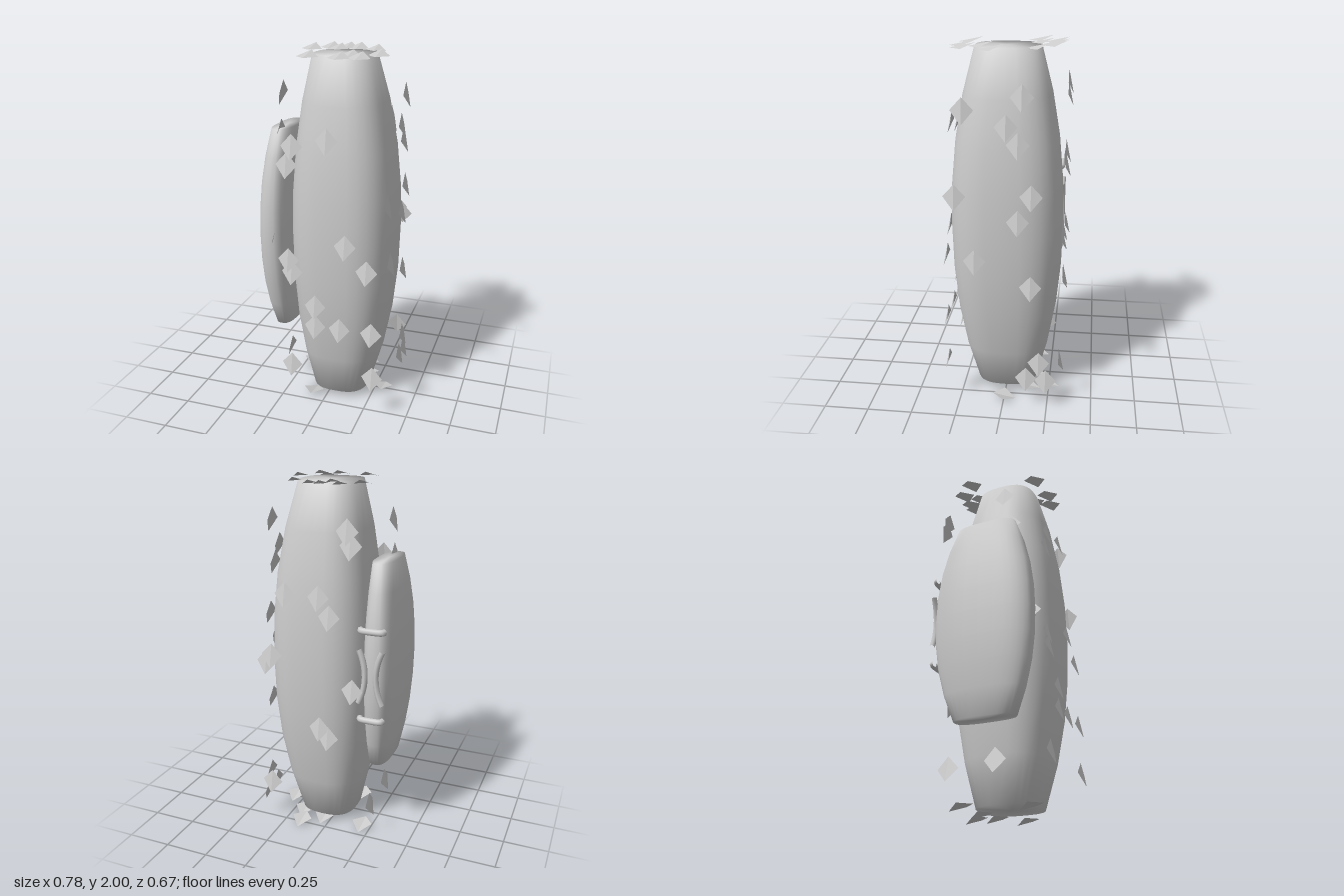
import * as THREE from 'three';

const grey = new THREE.MeshStandardMaterial({ color: 0xcccccc });
const greyThin = new THREE.MeshStandardMaterial({ color: 0xcccccc, side: THREE.DoubleSide, flatShading: true });

// Barrel with rounded-square section: widest half way up, narrowing to flat closed ends
function barrel({ y0, y1, halfX, halfZ, endScale, xMid, xEnd }, rings = 9, sides = 32) {
  const pos = [], index = [];
  const soft = (v) => Math.sign(v) * Math.abs(v) ** (2 / 2.75);
  for (let r = 0; r < rings; r++) {
    const t = (2 * r) / (rings - 1) - 1;
    const bulge = 1 - Math.abs(t) ** 2.2;
    const scale = endScale + (1 - endScale) * bulge;
    const cx = xEnd + (xMid - xEnd) * bulge;
    for (let i = 0; i < sides; i++) {
      const a = (i / sides) * Math.PI * 2;
      pos.push(cx + halfX * scale * soft(Math.cos(a)), y0 + ((t + 1) / 2) * (y1 - y0), halfZ * scale * soft(Math.sin(a)));
    }
  }
  for (let r = 0; r < rings - 1; r++) {
    for (let i = 0; i < sides; i++) {
      const a = r * sides + i, b = r * sides + ((i + 1) % sides);
      index.push(a, a + sides, b, b, a + sides, b + sides);
    }
  }
  const bottom = rings * sides, last = (rings - 1) * sides;
  pos.push(xEnd, y0, 0, xEnd, y1, 0);
  for (let i = 0; i < sides; i++) {
    const j = (i + 1) % sides;
    index.push(bottom, i, j, bottom + 1, last + j, last + i);
  }
  const geo = new THREE.BufferGeometry();
  geo.setAttribute('position', new THREE.Float32BufferAttribute(pos, 3));
  geo.setIndex(index);
  geo.computeVertexNormals();
  return geo;
}

// Diamond leaf with a centre fold; its lower tip lifts off the plane
function leafGeometry() {
  const top = [0, 0.065, 0], left = [-0.06, 0, 0], right = [0.06, 0, 0], tip = [0, -0.07, 0.028];
  const geo = new THREE.BufferGeometry();
  geo.setAttribute('position', new THREE.Float32BufferAttribute([top, left, tip, top, tip, right].flat(), 3));
  geo.computeVertexNormals();
  return geo;
}

function add(parent, name, geometry, material = grey) {
  const mesh = new THREE.Mesh(geometry, material);
  mesh.name = name;
  parent.add(mesh);
  return mesh;
}

export function createModel() {
  const model = new THREE.Group();
  const V = (x, y, z) => new THREE.Vector3(x, y, z);

  // Tall body and the slim slab at its side
  add(model, 'body', barrel({ y0: 0.035, y1: 1.975, halfX: 0.288, halfZ: 0.307, endScale: 0.565, xMid: 0.07, xEnd: 0.052 }));
  add(model, 'sideSlab', barrel({ y0: 0.43, y1: 1.58, halfX: 0.094, halfZ: 0.285, endScale: 0.61, xMid: -0.296, xEnd: -0.276 }));

  // Two curved bars and a pair of pinched straps behind the slab
  const clasp = new THREE.Group();
  clasp.name = 'clasp';
  model.add(clasp);
  for (const side of [-1, 1]) {
    const y = 1 + side * 0.25;
    const bar = new THREE.CatmullRomCurve3([
      V(-0.347, y, -0.262), V(-0.34, y, -0.278), V(-0.283, y, -0.284), V(-0.226, y, -0.278), V(-0.219, y, -0.262),
    ]);
    add(clasp, 'claspBar', new THREE.TubeGeometry(bar, 16, 0.018, 8));
    const x = -0.283 + side * 0.065;
    const strap = new THREE.QuadraticBezierCurve3(V(x, 0.85, -0.286), V(x - side * 0.07, 1, -0.286), V(x, 1.15, -0.286));
    add(clasp, 'claspStrap', new THREE.TubeGeometry(strap, 10, 0.016, 6));
  }

  // Loose leaves on the six planes around the body, placed by (u, v) on each plane
  const leaf = leafGeometry();
  const addLeaves = (name, normal, up, origin, spots) => {
    const across = up.clone().cross(normal);
    const turn = new THREE.Matrix4().makeBasis(across, up, normal);
    for (const [u, v] of spots) {
      const mesh = add(model, name, leaf, greyThin);
      mesh.quaternion.setFromRotationMatrix(turn);
      mesh.position.copy(origin).addScaledVector(across, u).addScaledVector(up, v);
    }
  };
  addLeaves('frontLeaf', V(0, 0, 1), V(0, 1, 0), V(0, 0, 0.307), [
    [-0.14, 1.53], [-0.17, 1.43], [0.05, 1.57], [-0.17, 0.9], [-0.15, 0.83], [0.15, 1.01], [0.27, 0.88],
    [-0.02, 0.64], [-0.02, 0.52], [0.12, 0.52], [0.3, 0.52], [-0.16, 0.26], [0.31, 0.25],
  ]);
  addLeaves('leftLeaf', V(1, 0, 0), V(0, 1, 0), V(0.358, 0, 0), [
    [-0.2, 1.69], [0.1, 1.76], [0.02, 1.61], [0.08, 1.52], [-0.25, 1.24], [0.15, 1.25],
    [0.08, 1.11], [-0.15, 0.88], [0.15, 0.74], [0.2, 0.28], [0.13, 0.18], [0.24, 0.17],
  ]);
  addLeaves('backLeaf', V(0, 0, -1), V(0, 1, 0), V(0, 0, -0.31), [
    [0.16, 1.76], [0.18, 1.69], [0, 1.41], [0.06, 1.31], [-0.19, 1.41], [-0.28, 1.06],
    [-0.31, 1.02], [0.19, 0.92], [0, 0.67], [0.05, 0.62], [-0.3, 0.28],
  ]);
  addLeaves('rightLeaf', V(-1, 0, 0), V(0, 1, 0), V(-0.26, 0, 0), [
    [0.1, 1.77], [0.14, 1.57], [0.25, 1.0], [-0.21, 0.2], [0.05, 0.22],
  ]);
  addLeaves('topLeaf', V(0, 1, 0), V(0, 0, 1), V(0, 1.972, 0), [
    [0.19, -0.15], [0.11, -0.24], [0.04, -0.16], [0.01, -0.24], [-0.05, -0.24], [-0.17, -0.16],
    [-0.25, 0.07], [0.08, 0.22], [-0.12, 0.14], [-0.09, 0.24], [-0.19, 0.22],
  ]);
  addLeaves('bottomLeaf', V(0, -1, 0), V(0, 0, 1), V(0, 0.028, 0), [
    [0.3, 0], [0.18, -0.13], [0.15, -0.24], [0.04, -0.16], [-0.2, -0.16], [-0.08, 0.17],
  ]);
  return model;
}
